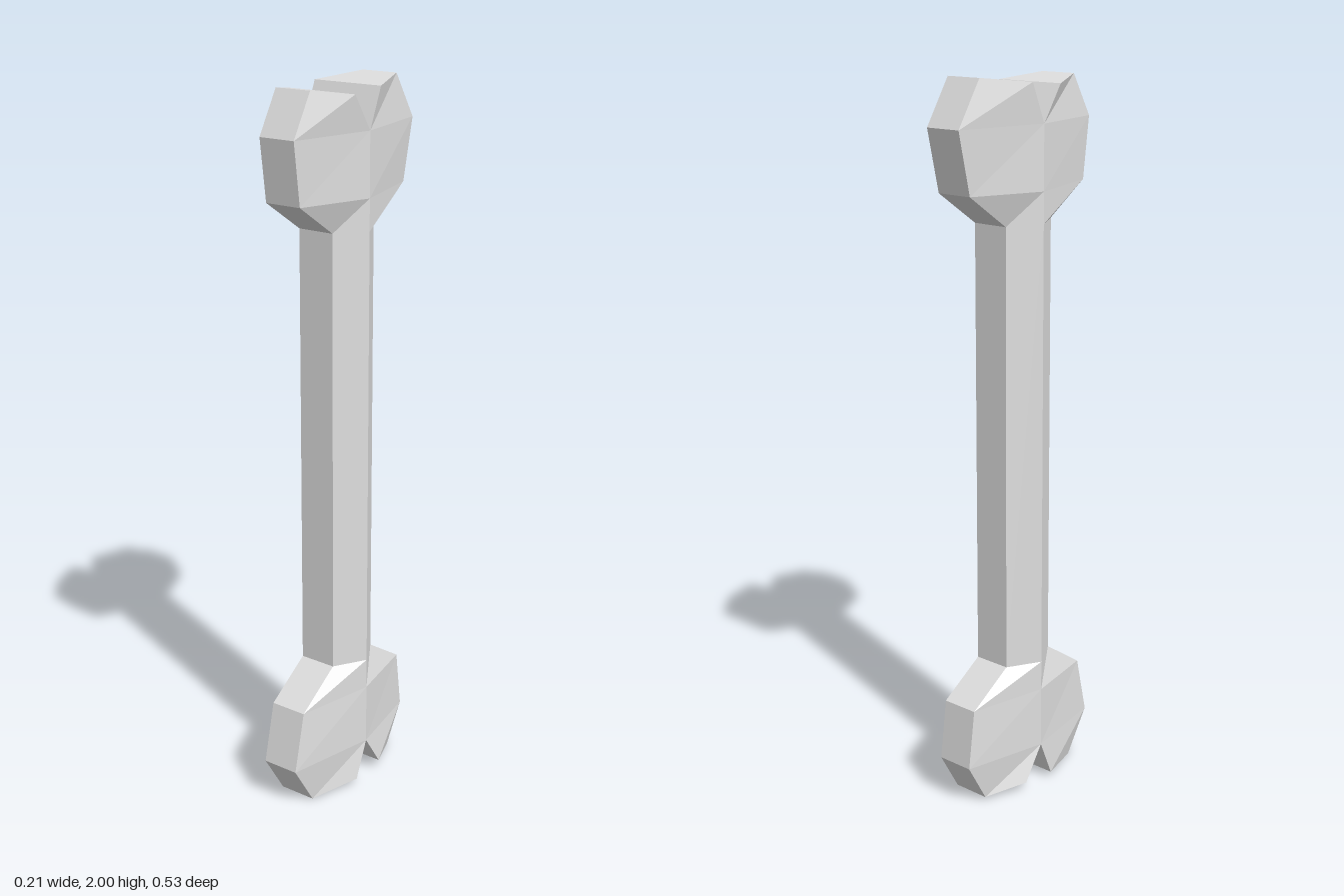
import * as THREE from 'three';

// Cross-sections [z, y] from bottom to top: thick middle line and thin outer rim
const inner = [[0.045, 0.015], [0, 0.122], [0, 0.295], [0, 0.382], [0, 1.62], [0, 1.705], [0, 1.878], [0.064, 1.975]];
const outer = [[0.187, 0], [0.264, 0.122], [0.225, 0.29], [0.09, 0.382], [0.09, 1.622], [0.224, 1.71], [0.246, 1.878], [0.18, 1.992]];
const INNER_X = 0.106, OUTER_X = 0.054;

// One lengthwise half of the bone (+z side): half a shaft with a lobe at each end
function halfGeometry() {
  const pos = [];
  const tri = (...pts) => pts.forEach((p) => pos.push(...p));
  const quad = (a, b, c, d) => { tri(a, b, c); tri(a, c, d); };
  const I = (i, side) => [side * INNER_X, inner[i][1], inner[i][0]];
  const O = (i, side) => [side * OUTER_X, outer[i][1], outer[i][0]];
  const last = inner.length - 1;

  for (let i = 0; i < last; i++) {
    // sloping flanks, split along opposite diagonals
    quad(I(i + 1, 1), O(i + 1, 1), O(i, 1), I(i, 1));
    quad(I(i, -1), O(i, -1), O(i + 1, -1), I(i + 1, -1));
    // outer rim
    quad(O(i, -1), O(i, 1), O(i + 1, 1), O(i + 1, -1));
  }
  // lobe ends
  quad(I(0, -1), I(0, 1), O(0, 1), O(0, -1));
  quad(O(last, -1), O(last, 1), I(last, 1), I(last, -1));
  // notch walls between the lobes
  for (const i of [0, last - 1]) quad(I(i, -1), I(i + 1, -1), I(i + 1, 1), I(i, 1));

  const geo = new THREE.BufferGeometry();
  geo.setAttribute('position', new THREE.Float32BufferAttribute(pos, 3));
  geo.computeVertexNormals();
  return geo;
}

export function createModel() {
  const group = new THREE.Group();
  group.name = 'bone';
  const bone = new THREE.MeshStandardMaterial({ color: 0xdedede, flatShading: true });
  bone.name = 'pale bone';

  const geo = halfGeometry();
  const front = new THREE.Mesh(geo, bone);
  front.name = 'frontHalf';

  // the back half is the front half turned end over end
  const back = new THREE.Mesh(geo, bone);
  back.name = 'backHalf';
  back.rotation.x = Math.PI;
  back.position.y = 2;

  group.add(front, back);
  return group;
}
